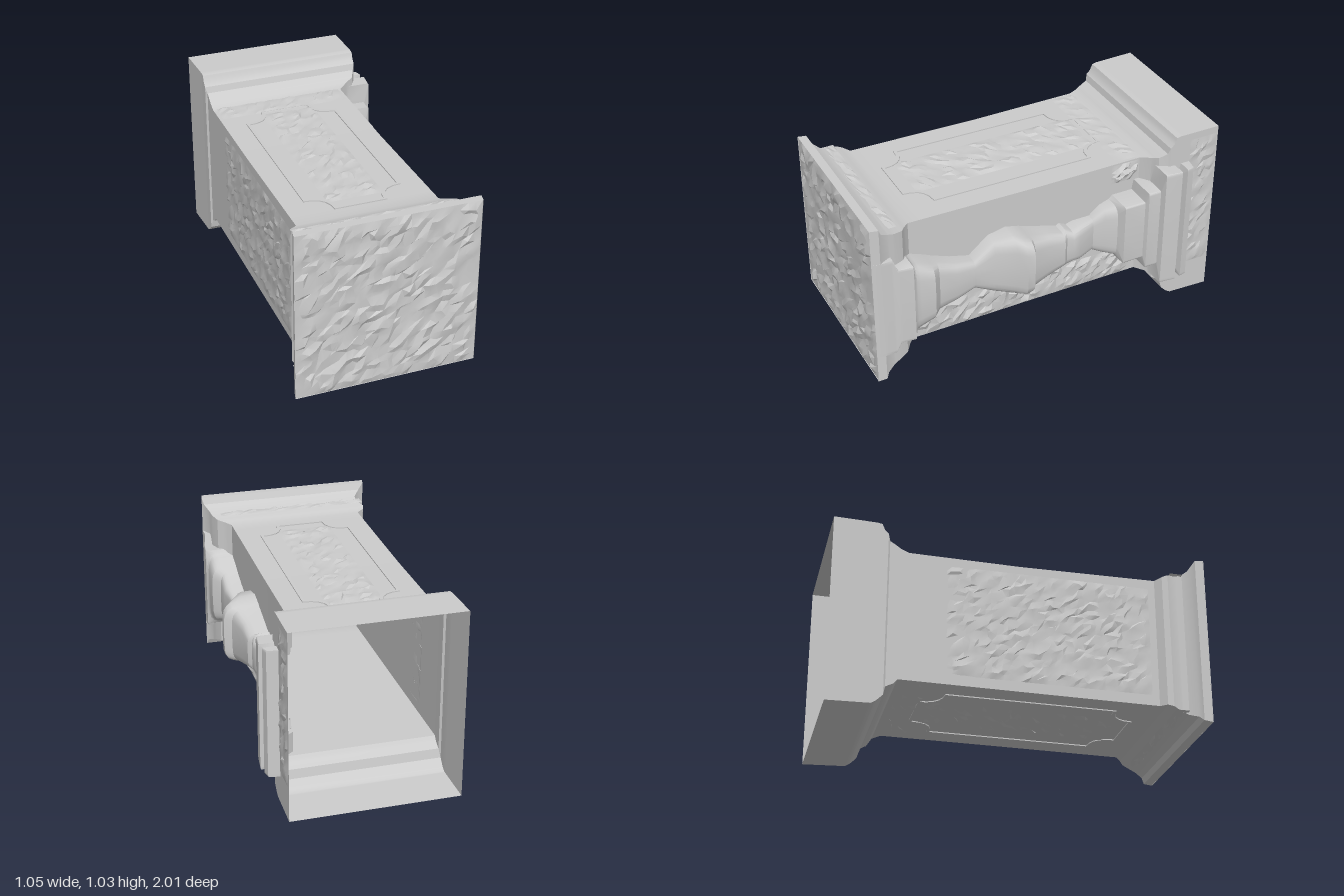
import * as THREE from 'three';
import { toCreasedNormals } from 'three/addons/utils/BufferGeometryUtils.js';

const mat = new THREE.MeshStandardMaterial({ color: 0xcccccc, side: THREE.DoubleSide });

function seeded(seed) {
  let s = seed;
  return () => (s = (s * 16807) % 2147483647) / 2147483647;
}

// Skin a list of equal-length closed rings
function loft(rings) {
  const pos = [];
  const n = rings[0].length;
  for (let i = 0; i < rings.length - 1; i++) {
    for (let j = 0; j < n; j++) {
      const k = (j + 1) % n;
      const [a, b, c, d] = [rings[i][j], rings[i][k], rings[i + 1][k], rings[i + 1][j]];
      pos.push(...a, ...b, ...c, ...a, ...c, ...d);
    }
  }
  const g = new THREE.BufferGeometry();
  g.setAttribute('position', new THREE.Float32BufferAttribute(pos, 3));
  return toCreasedNormals(g, 0.5);
}

// Row of a table at a given z, interpolated between its neighbours
function sample(table, z) {
  let i = 1;
  while (i < table.length - 1 && table[i][0] < z) i++;
  const [a, b] = [table[i - 1], table[i]];
  const t = THREE.MathUtils.clamp((z - a[0]) / (b[0] - a[0]), 0, 1);
  return a.map((v, k) => v + (b[k] - v) * t);
}

// Chipped stone relief: a grid whose inner vertices are pushed out at random
function roughPatch(w, h, nx, ny, amp, seed) {
  const rnd = seeded(seed);
  const g = new THREE.PlaneGeometry(w, h, nx, ny);
  const p = g.attributes.position;
  for (let i = 0; i < p.count; i++) {
    const c = i % (nx + 1), r = Math.floor(i / (nx + 1));
    const dx = rnd() - 0.5, dy = rnd() - 0.5, dz = rnd();
    if (c === 0 || r === 0 || c === nx || r === ny) continue;
    p.setXYZ(i, p.getX(i) + dx * 0.8 * w / nx, p.getY(i) + dy * 0.8 * h / ny, amp * dz * dz);
  }
  return toCreasedNormals(g, 0.35);
}

// Rectangle with concave notched corners
function notched(Type, hw, hh, r) {
  const s = new Type();
  s.moveTo(-hw + r, -hh);
  s.lineTo(hw - r, -hh);
  s.quadraticCurveTo(hw - r, -hh + r, hw, -hh + r);
  s.lineTo(hw, hh - r);
  s.quadraticCurveTo(hw - r, hh - r, hw - r, hh);
  s.lineTo(-hw + r, hh);
  s.quadraticCurveTo(-hw + r, hh - r, -hw, hh - r);
  s.lineTo(-hw, -hh + r);
  s.quadraticCurveTo(-hw + r, -hh + r, -hw + r, -hh);
  return s;
}

// Pedestal outline along its length: [z, x0, x1, y0, y1]
const profile = [
  [-1, -0.46, 0.44, 0.01, 1.04], [-0.77, -0.45, 0.44, 0.02, 1.04], [-0.745, -0.45, 0.44, 0.035, 1.035],
  [-0.73, -0.45, 0.44, 0.05, 1.0], [-0.71, -0.45, 0.44, 0.07, 0.98], [-0.7, -0.44, 0.43, 0.12, 0.945],
  [-0.66, -0.44, 0.41, 0.14, 0.92], [-0.64, -0.44, 0.37, 0.165, 0.905], [-0.6, -0.44, 0.315, 0.165, 0.888],
  [0, -0.435, 0.315, 0.165, 0.885], [0.74, -0.43, 0.32, 0.165, 0.898], [0.77, -0.47, 0.35, 0.16, 0.905],
  [0.8, -0.48, 0.39, 0.15, 0.915], [0.85, -0.455, 0.41, 0.135, 0.925], [0.89, -0.455, 0.42, 0.12, 0.94],
  [0.93, -0.49, 0.44, 0.1, 0.965], [0.945, -0.52, 0.45, 0.07, 1.0], [0.99, -0.53, 0.44, 0.06, 1.0]];

// Half baluster with stepped base and capital on the +x side: [z, y0, y1, outer x]
const relief = [
  [-1, 0.17, 0.87, 0.44], [-0.83, 0.17, 0.87, 0.44], [-0.82, 0.17, 0.87, 0.5], [-0.78, 0.17, 0.87, 0.51],
  [-0.77, 0.2, 0.84, 0.48], [-0.75, 0.2, 0.84, 0.48], [-0.74, 0.17, 0.87, 0.52], [-0.65, 0.17, 0.87, 0.51],
  [-0.64, 0.28, 0.76, 0.48], [-0.57, 0.28, 0.76, 0.48], [-0.56, 0.34, 0.7, 0.46], [-0.44, 0.34, 0.7, 0.46],
  [-0.42, 0.36, 0.68, 0.42], [-0.36, 0.38, 0.66, 0.39], [-0.3, 0.41, 0.61, 0.37], [-0.2, 0.4, 0.61, 0.41],
  [-0.16, 0.41, 0.6, 0.42], [-0.12, 0.39, 0.62, 0.41], [-0.1, 0.4, 0.61, 0.43], [0, 0.37, 0.64, 0.44],
  [0.1, 0.35, 0.67, 0.47], [0.12, 0.35, 0.68, 0.51], [0.16, 0.34, 0.69, 0.51], [0.2, 0.34, 0.7, 0.47],
  [0.3, 0.36, 0.68, 0.41], [0.41, 0.42, 0.59, 0.4], [0.52, 0.39, 0.62, 0.42], [0.62, 0.36, 0.66, 0.42],
  [0.66, 0.34, 0.68, 0.46], [0.76, 0.3, 0.72, 0.46], [0.78, 0.28, 0.74, 0.47], [0.86, 0.28, 0.74, 0.46],
  [0.88, 0.22, 0.8, 0.45], [0.95, 0.22, 0.8, 0.45], [0.99, 0.22, 0.8, 0.44]];

// One cross-section: four corners plus the bulge, square at base and capital
function section(z) {
  const [, x0, x1, y0, y1] = sample(profile, z);
  const [, r0, r1, rx] = sample(relief, z);
  const e = z < -0.43 || z > 0.77 ? 0.05 : 0.4;
  const ring = [[x0, y0, z], [x1, y0, z]];
  for (let i = 0; i <= 12; i++) {
    const a = -Math.PI / 2 + (i / 12) * Math.PI;
    const out = i % 12 === 0 ? 0 : Math.pow(Math.cos(a), e);
    const up = i === 6 ? 0 : Math.sign(i - 6) * Math.pow(Math.abs(Math.sin(a)), e);
    ring.push([x1 + out * Math.max(rx - x1, 0), (r0 + r1) / 2 + up * (r1 - r0) / 2, z]);
  }
  ring.push([x1, y1, z], [x0, y1, z]);
  return ring;
}

export function createModel() {
  const root = new THREE.Group();
  const add = (name, geo, x, y, z, parent = root) => {
    const mesh = new THREE.Mesh(geo, mat);
    mesh.name = name;
    mesh.position.set(x, y, z);
    parent.add(mesh);
    return mesh;
  };

  // Thin hollow pedestal lying down, open at -z
  const stations = [...new Set([...profile, ...relief].map((s) => s[0]))].sort((a, b) => a - b);
  add('pedestalShell', loft(stations.map(section)), 0, 0, 0);

  // Chipped underside facing the front
  add('chippedBase', roughPatch(0.97, 0.94, 26, 26, 0.018, 11), -0.045, 0.53, 0.987);

  // Framed ornament panels on the upper and lower faces
  for (const [name, y, dir] of [['upperPanel', 0.891, 1], ['lowerPanel', 0.165, -1]]) {
    const panel = new THREE.Group();
    panel.name = name;
    panel.position.set(-0.06, y, 0.085);
    panel.rotation.x = -dir * Math.PI / 2 + (dir > 0 ? -0.01 : 0);
    const frame = notched(THREE.Shape, 0.26, 0.575, 0.12);
    frame.holes.push(notched(THREE.Path, 0.245, 0.56, 0.12));
    add('panelFrame', new THREE.ExtrudeGeometry(frame, { depth: 0.006, bevelEnabled: false, curveSegments: 5 }),
      0, 0, 0, panel);
    add('carvedOrnament', roughPatch(0.3, 1.04, 10, 34, 0.012, 23), 0, dir * 0.02, 0.001, panel);
    root.add(panel);
  }

  // Carved fields on the sides: [name, length along z, height, columns, rows, depth, x, y, z, facing]
  const fields = [
    ['plainSideCarving', 1.1, 0.62, 36, 22, 0.01, -0.437, 0.53, 0.15, -1],
    ['lowerSideCarving', 1.3, 0.17, 42, 6, 0.02, 0.321, 0.255, 0.08, 1],
    ['capitalSideCarving', 0.16, 0.11, 7, 5, 0.025, 0.317, 0.825, -0.51, 1],
    ['rimSideCarving', 0.16, 0.8, 6, 26, 0.012, 0.441, 0.6, -0.91, 1]];
  fields.forEach(([name, w, h, nx, ny, amp, x, y, z, dir], i) => {
    add(name, roughPatch(w, h, nx, ny, amp, 37 + i), x, y, z).rotation.y = dir * Math.PI / 2;
  });

  // Carved bands across the upper and lower faces: [z, width, depth along z, upper y, lower y]
  const bands = [[-0.54, 0.72, 0.14, 0.889, 0.164], [0.85, 0.84, 0.07, 0.928, 0.133]];
  for (const [z, w, d, top, bottom] of bands) {
    add('upperBand', roughPatch(w, d, 24, 5, 0.01, 53), -0.06, top, z).rotation.x = -Math.PI / 2;
    add('lowerBand', roughPatch(w, d, 24, 5, 0.01, 59), -0.06, bottom, z).rotation.x = Math.PI / 2;
  }
  return root;
}
